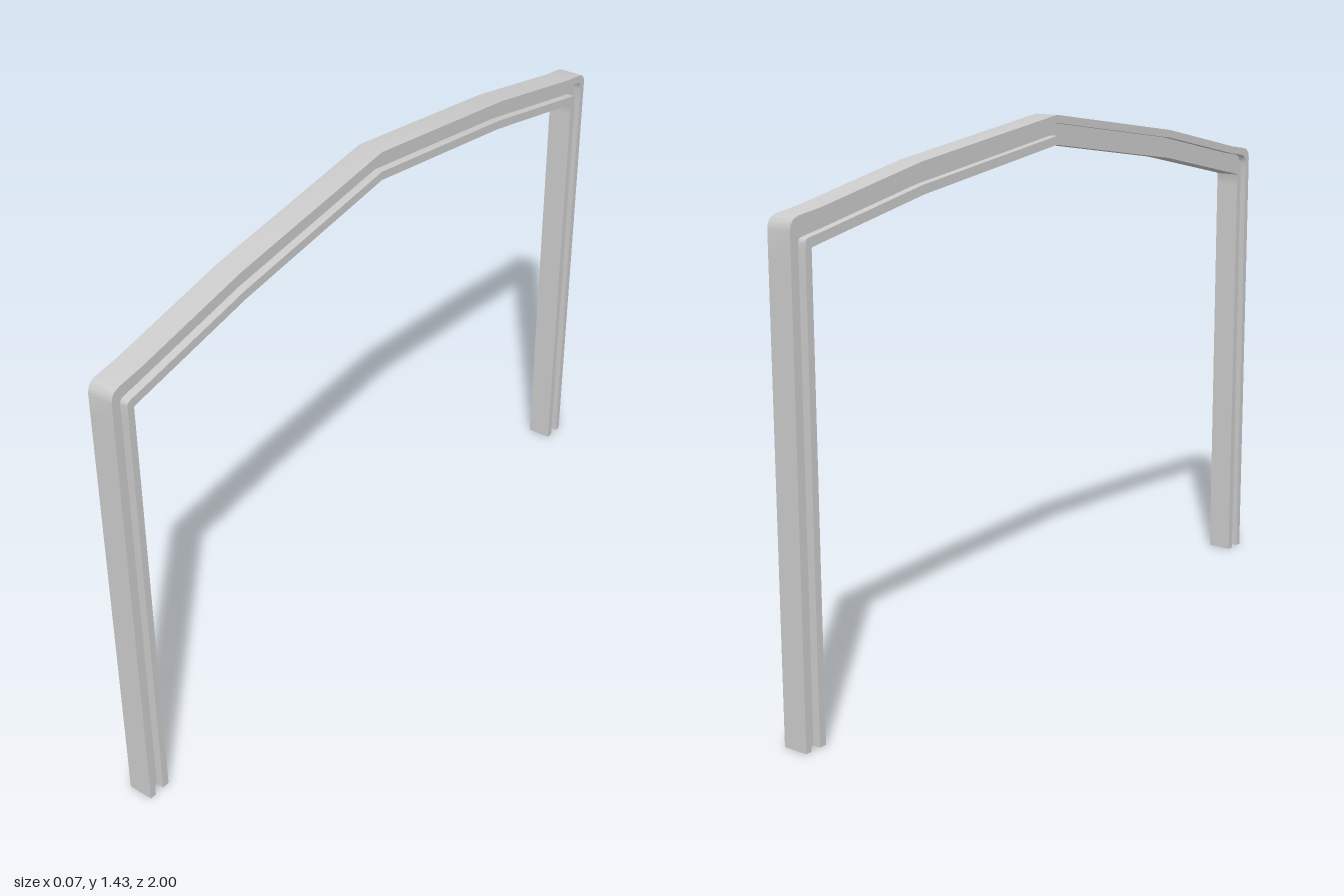
import * as THREE from 'three';
import { toCreasedNormals } from 'three/addons/utils/BufferGeometryUtils.js';

// Half of the arch: [outer z, outer y, inner z, inner y], from foot to ridge
const HALF = [
  [1, 0, 0.933, 0],
  [1, 1.165, 0.933, 1.165],
  [1, 1.24, 0.933, 1.19],
  [0.997, 1.255, 0.933, 1.193],
  [0.988, 1.266, 0.932, 1.195],
  [0.972, 1.272, 0.928, 1.197],
  [0.9, 1.283, 0.885, 1.206],
  [0.55, 1.356, 0.54, 1.277],
  [0, 1.433, 0, 1.355],
];

// I-shaped section: [depth from outer to inner edge 0..1, x]
const A = 0.035, W = 0.013, T0 = 0.27, T1 = 0.7;
const SECTION = [
  [0, -A], [0, A], [T0, A], [T0, W], [T1, W], [T1, A],
  [1, A], [1, -A], [T1, -A], [T1, -W], [T0, -W], [T0, -A],
];
const CAP = [[0, 1, 2, 11], [10, 3, 4, 9], [8, 5, 6, 7]];

// Sweeps the section through the stations and closes both feet
function sweep(stations) {
  const n = SECTION.length;
  const pos = [], idx = [];
  for (const [oz, oy, iz, iy] of stations) {
    for (const [t, x] of SECTION) pos.push(x, oy + (iy - oy) * t, oz + (iz - oz) * t);
  }
  const quad = (a, b, c, d) => idx.push(a, b, c, a, c, d);
  for (let i = 0; i < stations.length - 1; i++) {
    for (let j = 0; j < n; j++) {
      const k = (j + 1) % n;
      quad(i * n + j, i * n + k, (i + 1) * n + k, (i + 1) * n + j);
    }
  }
  const end = (stations.length - 1) * n;
  for (const [a, b, c, d] of CAP) {
    quad(d, c, b, a);
    quad(end + a, end + b, end + c, end + d);
  }
  const g = new THREE.BufferGeometry();
  g.setAttribute('position', new THREE.Float32BufferAttribute(pos, 3));
  g.setIndex(idx);
  return toCreasedNormals(g, 0.5);
}

export function createModel() {
  const group = new THREE.Group();
  group.name = 'portalFrame';
  const material = new THREE.MeshStandardMaterial({ color: 0xcccccc });

  // Mirror the half arch over the ridge
  const mirrored = HALF.slice(0, -1).reverse().map(([oz, oy, iz, iy]) => [-oz, oy, -iz, iy]);
  const frame = new THREE.Mesh(sweep([...HALF, ...mirrored]), material);
  frame.name = 'archedFrame';
  group.add(frame);
  return group;
}
